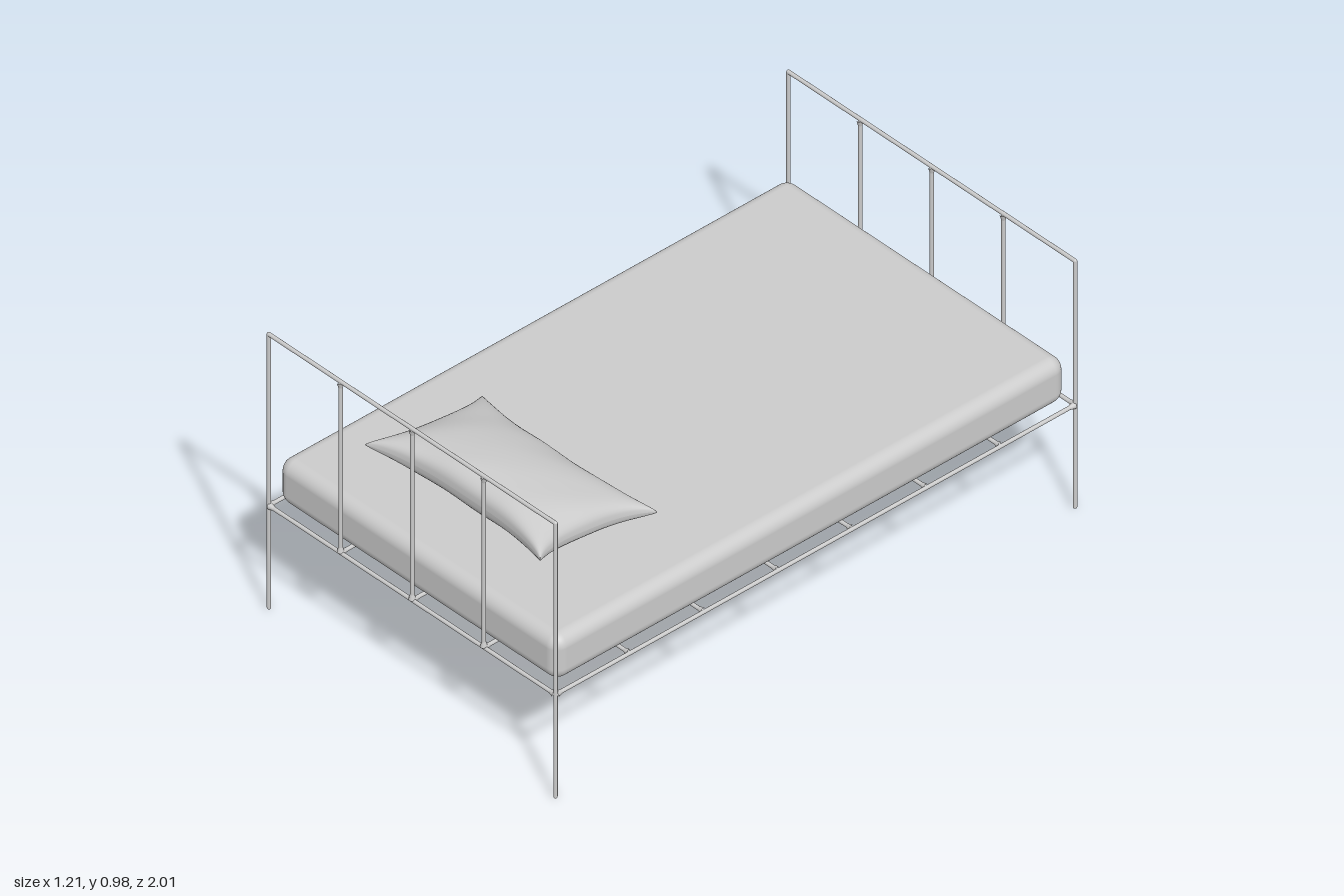
import * as THREE from 'three';
import { RoundedBoxGeometry } from 'three/addons/geometries/RoundedBoxGeometry.js';
import { mergeGeometries } from 'three/addons/utils/BufferGeometryUtils.js';

const R = 0.0065;               // tube radius
const PX = 0.596, PZ = 0.9935;  // corner post centres
const RAIL_Y = 0.367;
const BAR_X = [-0.298, 0, 0.298];
const mat = new THREE.MeshStandardMaterial({ color: 0xcccccc });
const UP = new THREE.Vector3(0, 1, 0);

export function createModel() {
  const bed = new THREE.Group();
  bed.name = 'bed';

  const add = (parent, name, geometry) => {
    const mesh = new THREE.Mesh(geometry, mat);
    mesh.name = name;
    parent.add(mesh);
    return mesh;
  };

  // Round-ended tube between two points; optional flared welds at both ends
  const bar = (parent, name, a, b, flared = false) => {
    const A = new THREE.Vector3(...a), B = new THREE.Vector3(...b);
    const dir = B.clone().sub(A), len = dir.length();
    const parts = [new THREE.CapsuleGeometry(R, len, 4, 12)];
    if (flared) {
      for (const s of [-1, 1]) {
        const weld = new THREE.CylinderGeometry(s > 0 ? 0.011 : R, s > 0 ? R : 0.011, 0.018, 12, 1, true);
        weld.translate(0, s * (len / 2 - 0.012), 0);
        parts.push(weld);
      }
    }
    const geo = flared ? mergeGeometries(parts.map((g) => g.toNonIndexed())) : parts[0];
    const mesh = add(parent, name, geo);
    mesh.position.copy(A).add(B).multiplyScalar(0.5);
    mesh.quaternion.setFromUnitVectors(UP, dir.normalize());
  };

  // Headboard and footboard: posts, top rail, bottom rail, uprights
  const endFrame = (name, z, height) => {
    const g = new THREE.Group();
    g.name = name;
    const top = height - R;
    for (const x of [-PX, PX]) bar(g, 'post', [x, R, z], [x, top, z]);
    bar(g, 'topRail', [-PX, top, z], [PX, top, z]);
    bar(g, 'bottomRail', [-PX, RAIL_Y, z], [PX, RAIL_Y, z], true);
    for (const x of BAR_X) bar(g, 'upright', [x, RAIL_Y, z], [x, top, z], true);
    bed.add(g);
  };
  endFrame('headboard', PZ, 0.98);
  endFrame('footboard', -PZ, 0.883);

  // Base: side rails, lengthwise bars and six cross slats
  const base = new THREE.Group();
  base.name = 'base';
  bed.add(base);
  for (const x of [-PX, PX]) bar(base, 'sideRail', [x, RAIL_Y, -PZ], [x, RAIL_Y, PZ], true);
  for (const x of BAR_X) bar(base, 'lengthwiseBar', [x, RAIL_Y, -PZ], [x, RAIL_Y, PZ], true);
  for (let i = 1; i <= 6; i++) {
    const z = -PZ + (i * 2 * PZ) / 7;
    bar(base, 'crossSlat', [-PX, RAIL_Y, z], [PX, RAIL_Y, z], true);
  }

  // Mattress
  add(bed, 'mattress', new RoundedBoxGeometry(1.164, 0.155, 1.955, 6, 0.042)).position.y = 0.457;

  // Pillow: two puffed sheets meeting at a pinched, concave seam
  const pillowSide = (sign) => {
    const geo = new THREE.PlaneGeometry(2, 2, 40, 32);
    geo.rotateX(-sign * Math.PI / 2);
    const p = geo.attributes.position;
    for (let i = 0; i < p.count; i++) {
      const u = Math.sin(p.getX(i) * Math.PI / 2);
      const v = Math.sin(p.getZ(i) * Math.PI / 2);
      const x = u * (0.322 + 0.043 * Math.pow(Math.abs(v), 3));
      const z = v * (0.178 + 0.046 * Math.pow(Math.abs(u), 3));
      const fill = Math.pow(Math.max(0, (1 - u * u) * (1 - v * v)), 0.36);
      // Gentle creases that die out at the seam and in the middle
      const crease = 0.004 * Math.sin(u * 9 + v * 4) * fill * Math.max(u * u, v * v);
      const seam = 0.602 + 0.03 * v;
      const y = sign > 0
        ? seam + 0.091 * fill + crease
        : Math.max(0.534, seam - 0.078 * fill + crease);
      p.setXYZ(i, x, y, z + 0.615);
    }
    geo.computeVertexNormals();
    return geo;
  };
  add(bed, 'pillow', mergeGeometries([pillowSide(1), pillowSide(-1)]));

  return bed;
}
